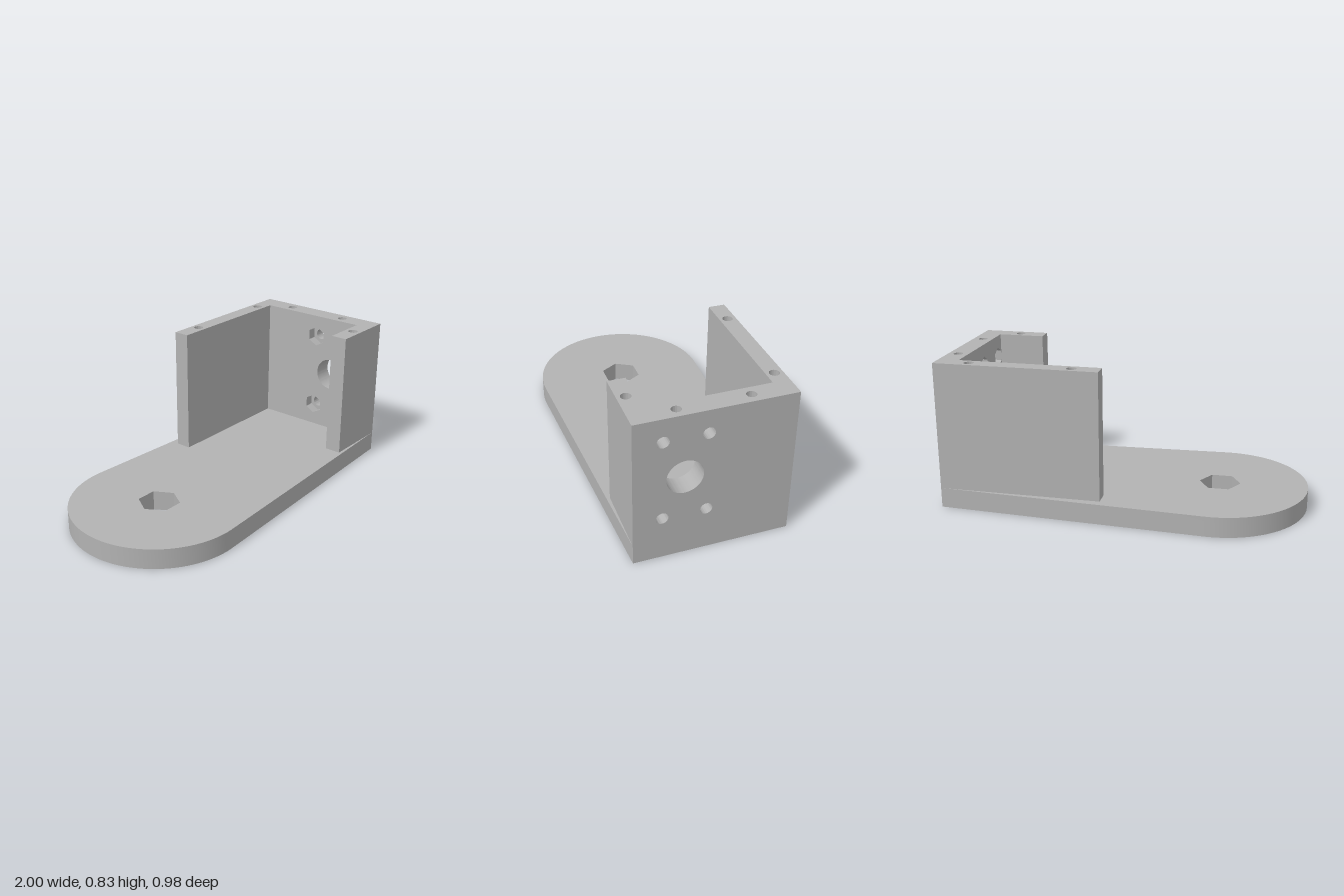
import * as THREE from 'three';
import { toCreasedNormals } from 'three/addons/utils/BufferGeometryUtils.js';

const BASE = 0.113, TOP = 0.83, HALF = 0.415;
const PIN_R = 0.027, PIN_DEPTH = 0.2;
const INNER = 0.885, POCKET = 0.055;

export function createModel() {
  const grey = new THREE.MeshStandardMaterial({ color: 0xb2b2b2 });
  grey.name = 'grey';
  const model = new THREE.Group();
  model.name = 'motorBracket';

  const polygon = pts => new THREE.Shape(pts.map(p => new THREE.Vector2(p[0], p[1])));
  const rect = (x0, y0, x1, y1) => polygon([[x0, y0], [x1, y0], [x1, y1], [x0, y1]]);
  const circle = (x, y, r) => new THREE.Path().absarc(x, y, r, 0, Math.PI * 2, true);
  const hexagon = (x, y, r, turn) => new THREE.Path(Array.from({ length: 6 }, (_, i) => {
    const a = turn - i * Math.PI / 3;
    return new THREE.Vector2(x + r * Math.cos(a), y + r * Math.sin(a));
  }));

  function extrude(name, shape, depth, place, parent = model) {
    let geo = new THREE.ExtrudeGeometry(shape, { depth, bevelEnabled: false, curveSegments: 40 });
    place(geo);
    geo = toCreasedNormals(geo, 0.5);
    const mesh = new THREE.Mesh(geo, grey);
    mesh.name = name;
    parent.add(mesh);
  }
  // Upward extrusion takes shapes in (x, -z); sideways takes (-z, y)
  const upFrom = y => g => g.rotateX(-Math.PI / 2).translate(0, y, 0);
  const sideFrom = x => g => g.rotateY(Math.PI / 2).translate(x, 0, 0);

  // Tapered base plate with rounded end and hexagonal nut hole
  const tangent = Math.PI / 2 - 0.05;
  const plate = new THREE.Shape();
  plate.moveTo(1, -HALF);
  plate.lineTo(1, HALF);
  plate.absarc(-0.51, 0, 0.49, tangent, Math.PI * 2 - tangent, false);
  plate.closePath();
  plate.holes.push(hexagon(-0.51, 0, 0.115, 0));
  extrude('basePlate', plate, BASE, upFrom(0));

  // Side walls: solid below, blind pin holes in the top
  function sideWall(name, x0, z0, z1, pins) {
    const wall = new THREE.Group();
    wall.name = name;
    const split = TOP - PIN_DEPTH;
    extrude(name + 'Lower', rect(x0, -z1, INNER, -z0), split - BASE, upFrom(BASE), wall);
    const upper = rect(x0, -z1, INNER, -z0);
    pins.forEach(x => upper.holes.push(circle(x, -(z0 + z1) / 2, PIN_R)));
    extrude(name + 'Upper', upper, PIN_DEPTH, upFrom(split), wall);
    model.add(wall);
  }
  sideWall('backWall', 0.09, -HALF, -0.325, [0.243, 0.81]);
  sideWall('frontWall', 0.62, 0.32, HALF, [0.77]);

  // End wall outline, with slots that receive the two pin blocks
  const pinZ = [0.183, -0.19], slot = 0.0275, slotY = TOP - PIN_DEPTH;
  function endOutline() {
    const pts = [[-HALF, BASE], [HALF, BASE], [HALF, TOP]];
    [...pinZ].reverse().forEach(z => pts.push(
      [-z + slot, TOP], [-z + slot, slotY], [-z - slot, slotY], [-z - slot, TOP]));
    pts.push([-HALF, TOP]);
    return polygon(pts);
  }
  const screws = [[0.265, 0.7], [0.038, 0.7], [0.265, 0.247], [0.038, 0.247]];
  const outer = endOutline(), inner = endOutline();
  [outer, inner].forEach(s => s.holes.push(circle(-0.152, 0.473, 0.095)));
  screws.forEach(([z, y]) => {
    outer.holes.push(circle(-z, y, 0.032));
    inner.holes.push(hexagon(-z, y, 0.06, Math.PI / 2));
  });
  extrude('endWallOuter', outer, 1 - INNER - POCKET, sideFrom(INNER + POCKET));
  extrude('endWallNutPockets', inner, POCKET, sideFrom(INNER));

  // Pin blocks in the top of the end wall
  pinZ.forEach(z => {
    const block = rect(INNER, -z - slot, 1, -z + slot);
    block.holes.push(circle(0.943, -z, 0.026));
    extrude('endWallPinBlock', block, PIN_DEPTH, upFrom(slotY));
  });

  return model;
}
